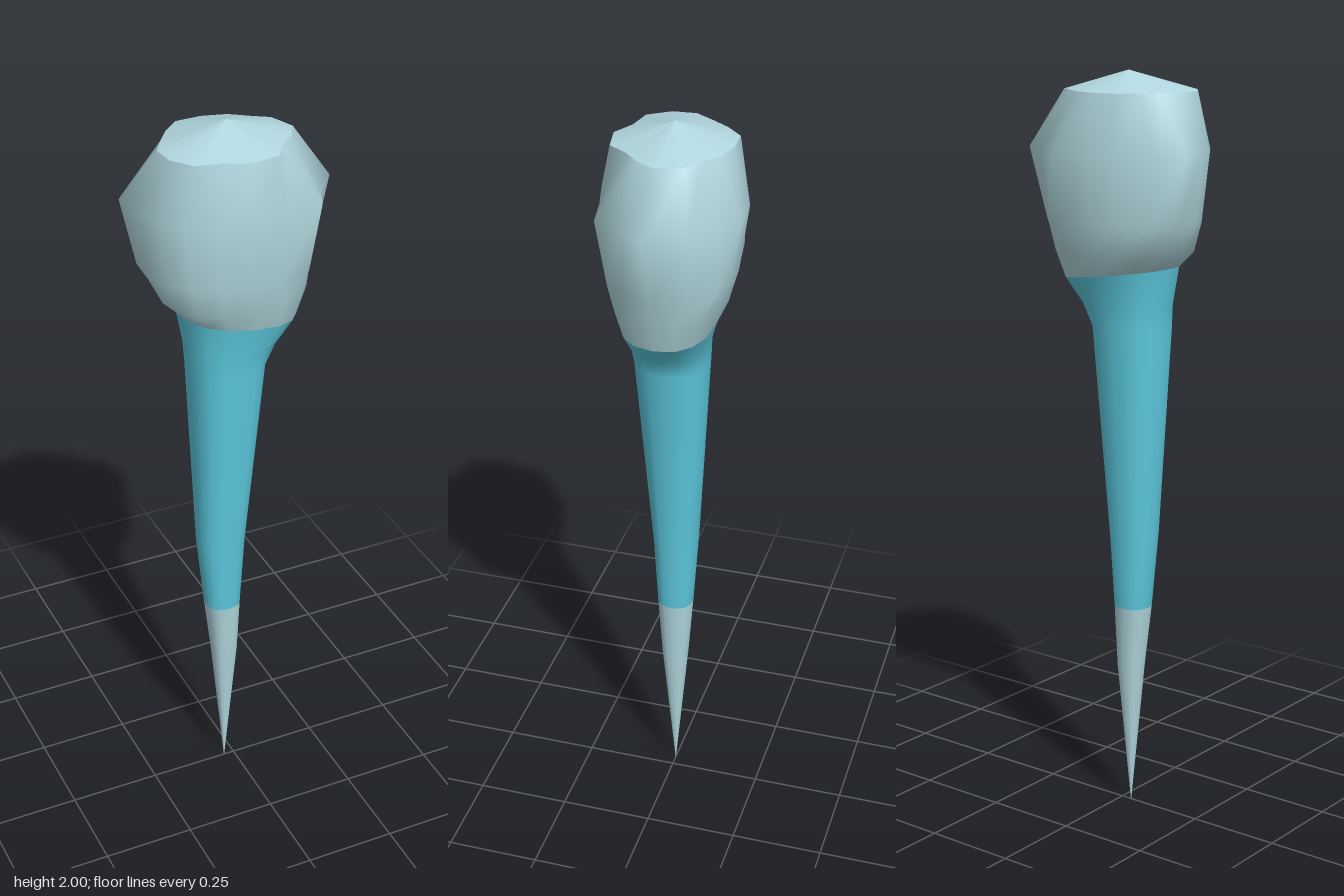
import * as THREE from 'three';

const SIDES = 16;

// Rounded-square ring: centre and half-widths from its extents, optionally tilted along x
function ring(y, x0, x1, z0, z1, tilt = 0) {
  const soft = (v) => Math.sign(v) * Math.pow(Math.abs(v), 0.85);
  const points = [];
  for (let i = 0; i < SIDES; i++) {
    const a = (i / SIDES) * Math.PI * 2;
    const x = (x0 + x1) / 2 + ((x1 - x0) / 2) * soft(Math.cos(a));
    const z = (z0 + z1) / 2 + ((z1 - z0) / 2) * soft(Math.sin(a));
    points.push([x, y + tilt * x, z]);
  }
  return points;
}

// Irregular ring from a list of x, z pairs
const outline = (y, pairs) => pairs.map(([x, z]) => [x, y, z]);

// Smooth skin through a stack of rings, bottom to top
function loft(name, rings, material) {
  const index = [];
  for (let r = 0; r < rings.length - 1; r++) {
    for (let i = 0; i < SIDES; i++) {
      const j = (i + 1) % SIDES;
      const a = r * SIDES + i, b = r * SIDES + j;
      index.push(a, a + SIDES, b, b, a + SIDES, b + SIDES);
    }
  }
  const geometry = new THREE.BufferGeometry();
  geometry.setAttribute('position', new THREE.Float32BufferAttribute(rings.flat(2), 3));
  geometry.setIndex(index);
  geometry.computeVertexNormals();
  const mesh = new THREE.Mesh(geometry, material);
  mesh.name = name;
  return mesh;
}

export function createModel() {
  const pale = new THREE.MeshStandardMaterial({ name: 'pale blue grey', color: 0xb0d6dd });
  const teal = new THREE.MeshStandardMaterial({ name: 'teal', color: 0x5cc9de });

  // Shared boundaries between the parts
  const tipTop = ring(0.57, -0.085, 0.012, -0.047, 0.05);
  const collar = ring(1.48, -0.152, 0.16, -0.118, 0.125, -0.13);
  const rim = outline(1.95, [
    [0.16, 0], [0.13, 0.052], [0.09, 0.09], [0.055, 0.143],
    [-0.025, 0.158], [-0.085, 0.128], [-0.155, 0.115], [-0.195, 0.058],
    [-0.2, -0.005], [-0.165, -0.06], [-0.135, -0.103], [-0.09, -0.147],
    [-0.02, -0.15], [0.045, -0.133], [0.09, -0.1], [0.135, -0.07],
  ]);

  // Widest line of the head and the narrower line below it
  const belly = outline(1.8, [
    [0.265, 0], [0.205, 0.07], [0.17, 0.148], [0.07, 0.167],
    [-0.025, 0.193], [-0.11, 0.165], [-0.187, 0.128], [-0.23, 0.065],
    [-0.25, 0], [-0.268, -0.09], [-0.2, -0.125], [-0.1, -0.163],
    [-0.025, -0.19], [0.075, -0.195], [0.15, -0.145], [0.228, -0.1],
  ]);
  const lowerHead = outline(1.62, [
    [0.21, 0], [0.18, 0.07], [0.15, 0.125], [0.06, 0.152],
    [-0.025, 0.168], [-0.1, 0.152], [-0.165, 0.12], [-0.21, 0.06],
    [-0.235, 0], [-0.23, -0.08], [-0.19, -0.138], [-0.1, -0.152],
    [-0.025, -0.165], [0.06, -0.168], [0.13, -0.145], [0.18, -0.09],
  ]);

  const group = new THREE.Group();
  group.name = 'spike';
  group.add(
    loft('tip', [
      ring(0, -0.031, -0.03, -0.0005, 0.0005),
      ring(0.4, -0.066, 0.005, -0.036, 0.037),
      tipTop,
    ], pale),
    loft('shaft', [
      tipTop,
      ring(0.78, -0.105, 0.025, -0.06, 0.062),
      ring(1.34, -0.13, 0.075, -0.09, 0.105),
      ring(1.4, -0.135, 0.11, -0.094, 0.107),
      collar,
    ], teal),
    loft('head', [
      collar,
      ring(1.54, -0.195, 0.186, -0.145, 0.147),
      lowerHead, belly, rim,
    ], pale),
    loft('cap', [rim, rim.map(() => [-0.02, 2, 0])], pale),
  );
  return group;
}
